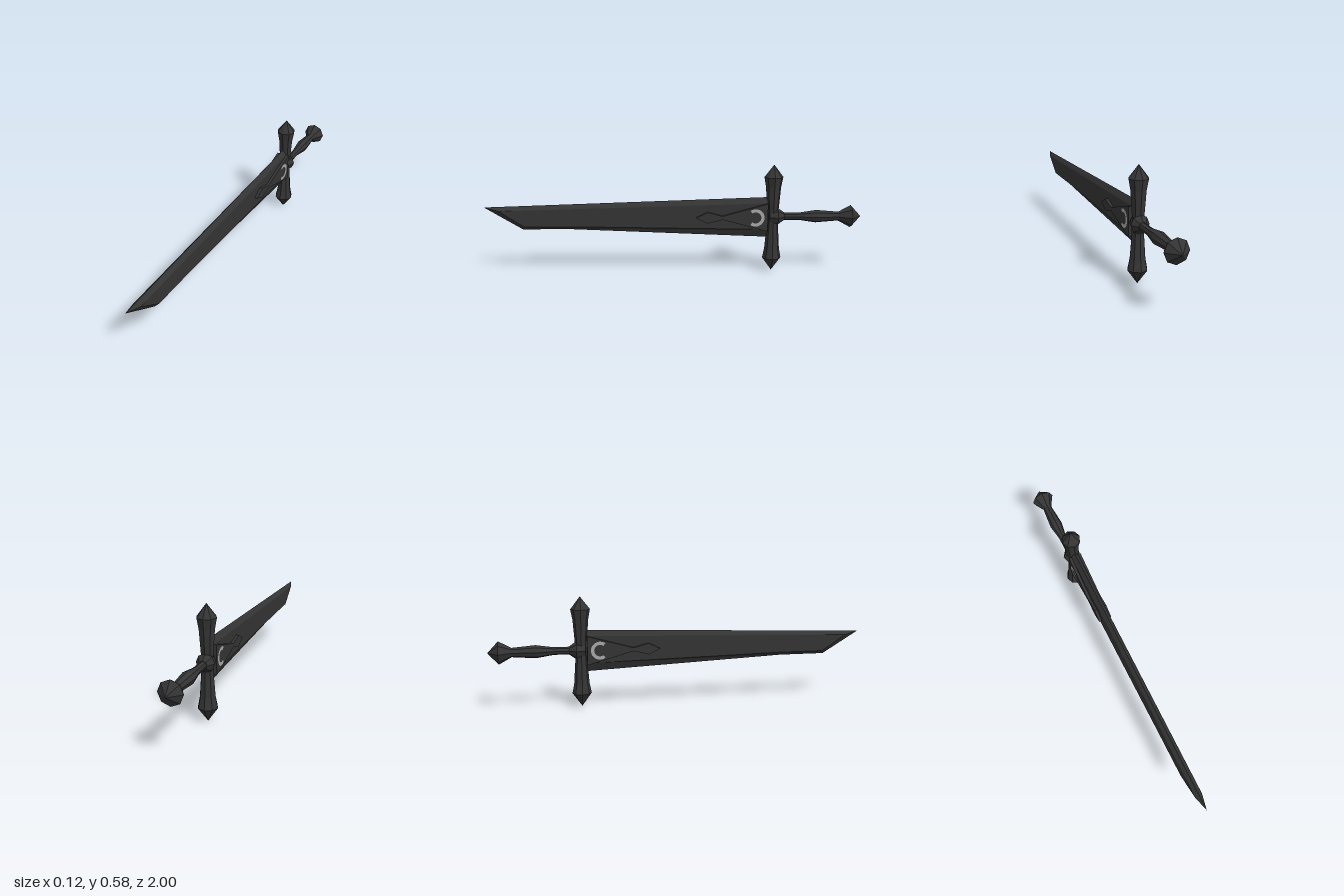
import * as THREE from 'three';

export function createModel() {
  const group = new THREE.Group();
  group.name = 'sword';
  const steel = new THREE.MeshStandardMaterial({ color: 0x343434, flatShading: true });
  steel.name = 'dark steel';
  const silver = new THREE.MeshStandardMaterial({ color: 0xa8a8a8 });
  silver.name = 'pale inlay';
  const axisY = 0.297;

  const add = (name, geometry, material = steel) => {
    const mesh = new THREE.Mesh(geometry, material);
    mesh.name = name;
    group.add(mesh);
    return mesh;
  };
  // Eight-sided turned part from [radius, height] pairs, low to high
  const turned = (profile) =>
    new THREE.LatheGeometry(profile.map(([r, h]) => new THREE.Vector2(r, h)), 8);

  // Blade: flat cheeks bevelled out to a sharp outline, given as [z, y]
  const edge = [[0.55, 0.232], [-0.5, 0.185], [-0.5, 0.402], [1, 0.352], [0.8, 0.232]];
  const cheek = [[0.55, 0.25], [-0.5, 0.23], [-0.5, 0.372], [0.92, 0.335], [0.79, 0.25]];
  const positions = [];
  for (const side of [1, -1]) {
    const outer = edge.map(([z, y]) => [0, y, z]);
    const inner = cheek.map(([z, y]) => [side * 0.02, y, z]);
    const tri = (a, b, c) => positions.push(...a, ...(side > 0 ? b : c), ...(side > 0 ? c : b));
    for (let i = 0; i < edge.length; i++) {
      const j = (i + 1) % edge.length;
      tri(outer[i], outer[j], inner[j]);
      tri(outer[i], inner[j], inner[i]);
      if (i > 0 && j > 0) tri(inner[0], inner[i], inner[j]);
    }
  }
  const bladeGeometry = new THREE.BufferGeometry();
  bladeGeometry.setAttribute('position', new THREE.Float32BufferAttribute(positions, 3));
  bladeGeometry.computeVertexNormals();
  add('blade', bladeGeometry);

  // Raised wedge at the blade root with a diamond end
  const upper = [[0.12, 0], [0.18, 0.03], [0.26, 0.009], [0.5, 0.075]];
  const lower = upper.slice(1).reverse().map(([x, y]) => [x, -y]);
  const wedge = new THREE.Shape([...upper, ...lower].map(([x, y]) => new THREE.Vector2(x, y)));
  const wedgeGeometry = new THREE.ExtrudeGeometry(wedge, { depth: 0.07, bevelEnabled: false });
  wedgeGeometry.translate(0, 0, -0.035).rotateY(Math.PI / 2);
  add('rootWedge', wedgeGeometry).position.y = axisY;

  // Open ring inlaid on both faces of the wedge
  for (const side of [1, -1]) {
    const start = side > 0 ? -0.7 * Math.PI : 0.3 * Math.PI;
    const ring = add(side > 0 ? 'leftInlay' : 'rightInlay',
      new THREE.RingGeometry(0.03, 0.047, 20, 1, start, 1.4 * Math.PI), silver);
    ring.rotation.y = side * Math.PI / 2;
    ring.position.set(side * 0.0356, axisY, -0.435);
  }

  // Crossguard with flared, pointed ends
  add('crossguard', turned([
    [0, 0], [0.05, 0.07], [0.04, 0.12], [0.031, 0.24], [0.031, 0.335],
    [0.04, 0.457], [0.05, 0.51], [0, 0.576],
  ])).position.z = -0.53;

  // Handle parts turned about the long axis
  const handle = {
    pommel: [[0, -1], [0.06, -0.945], [0.024, -0.88], [0, -0.88]],
    grip: [[0.024, -0.88], [0.034, -0.76], [0.02, -0.67], [0.02, -0.58]],
    collar: [[0, -0.59], [0.022, -0.59], [0.047, -0.555], [0.035, -0.51], [0, -0.51]],
  };
  for (const [name, profile] of Object.entries(handle)) {
    const part = add(name, turned(profile));
    part.rotation.x = Math.PI / 2;
    part.position.y = axisY;
  }
  return group;
}
